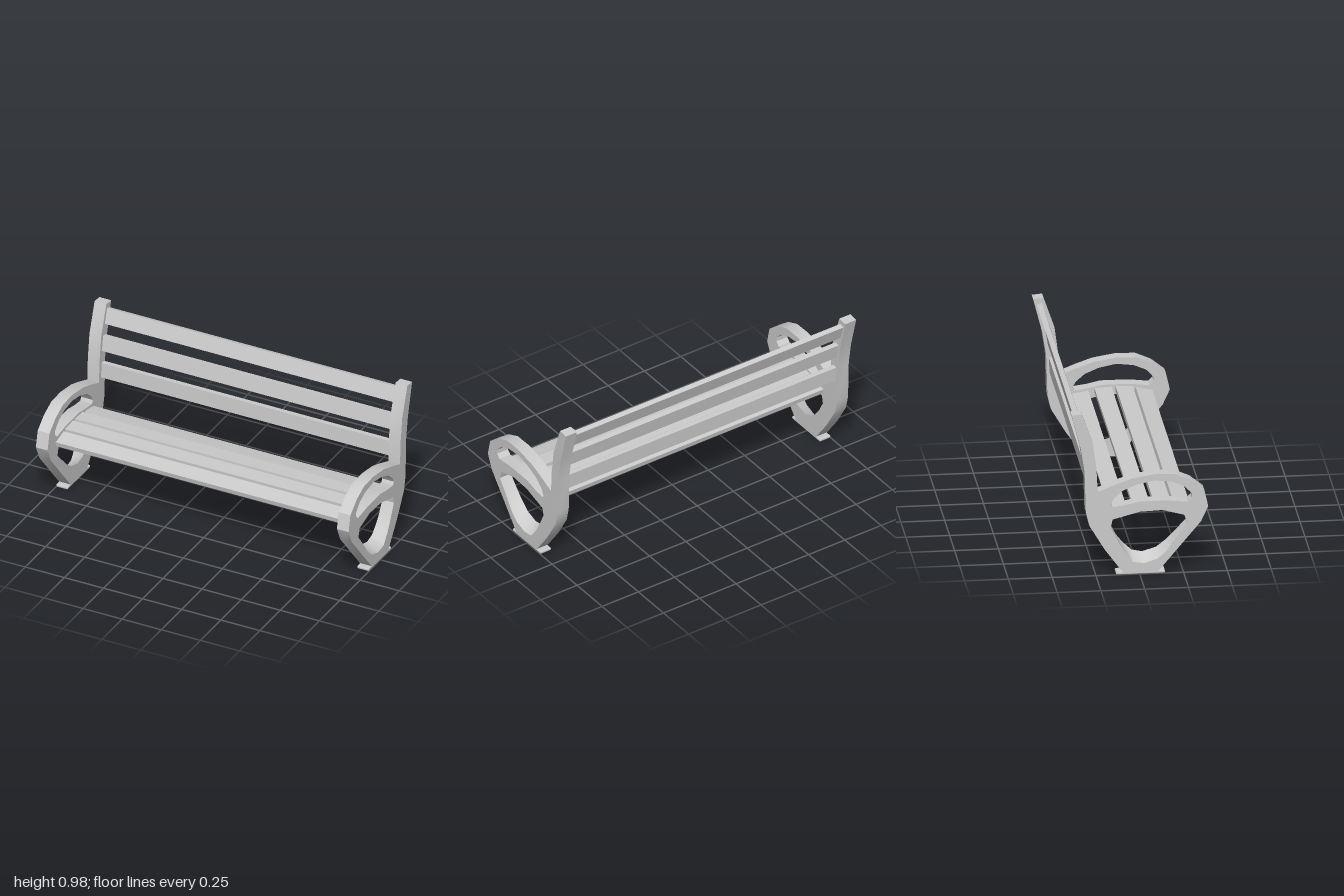
import * as THREE from 'three';
import { toCreasedNormals } from 'three/addons/utils/BufferGeometryUtils.js';
import { RoundedBoxGeometry } from 'three/addons/geometries/RoundedBoxGeometry.js';

const material = new THREE.MeshStandardMaterial({ color: 0xcccccc });
const END_WIDTH = 0.075;
const INNER_X = 1 - END_WIDTH;

// Side profiles as [z, y]
const outline = [
  [0.105, 0.012], [0.35, 0.305], [0.391, 0.395], [0.368, 0.495], [0.29, 0.558], [0.2, 0.597],
  [0.09, 0.6], [-0.045, 0.578], [-0.14, 0.545], [-0.24, 0.505], [-0.247, 0.645], [-0.267, 0.795],
  [-0.33, 0.977], [-0.389, 0.972], [-0.337, 0.77], [-0.315, 0.63], [-0.308, 0.39],
  [-0.288, 0.303], [-0.2, 0.155], [-0.095, 0.012],
];
const armHole = [
  [0.298, 0.475], [0.255, 0.52], [0.185, 0.55], [0.085, 0.562], [-0.015, 0.542], [-0.095, 0.508],
  [-0.145, 0.465], [-0.165, 0.43], [-0.155, 0.41], [-0.08, 0.42], [0, 0.438], [0.16, 0.438],
  [0.275, 0.425], [0.298, 0.448],
];
// The leg opening narrows toward the inner face: [z, y] outside, then inside
const legHole = [
  [0.27, 0.295, 0.27, 0.295], [0.255, 0.347, 0.255, 0.347], [0.13, 0.381, 0.13, 0.381],
  [0, 0.376, 0, 0.376], [-0.155, 0.335, -0.155, 0.335], [-0.165, 0.29, -0.165, 0.29],
  [-0.12, 0.195, -0.127, 0.217], [-0.085, 0.133, -0.09, 0.17], [-0.04, 0.075, -0.04, 0.123],
  [0.025, 0.065, 0.02, 0.11], [0.1, 0.088, 0.1, 0.133], [0.15, 0.13, 0.16, 0.18],
  [0.21, 0.215, 0.215, 0.232],
];

const toPoints = (list) => list.map(([z, y]) => new THREE.Vector2(z, y));

function add(parent, name, geometry) {
  const mesh = new THREE.Mesh(geometry, material);
  mesh.name = name;
  parent.add(mesh);
  return mesh;
}

// One end frame with armrest, legs and back post; side is +1 (left) or -1 (right)
function endFrameGeometry(side) {
  const shape = new THREE.Shape(toPoints(outline));
  shape.holes.push(new THREE.Path(toPoints(armHole)), new THREE.Path(toPoints(legHole)));
  const geometry = new THREE.ExtrudeGeometry(shape, { depth: END_WIDTH, bevelEnabled: false });

  // Shrink the leg opening on the inner face
  const innerDepth = side > 0 ? END_WIDTH : 0;
  const p = geometry.attributes.position;
  for (let i = 0; i < p.count; i++) {
    if (Math.abs(p.getZ(i) - innerDepth) > 1e-4) continue;
    const hit = legHole.find(([z, y]) => Math.hypot(p.getX(i) - z, p.getY(i) - y) < 1e-4);
    if (hit) p.setXY(i, hit[2], hit[3]);
  }
  geometry.rotateY(-Math.PI / 2);
  geometry.translate(side > 0 ? 1 : -INNER_X, 0, 0);
  return toCreasedNormals(geometry, 0.6);
}

export function createModel() {
  const group = new THREE.Group();
  group.name = 'bench';

  for (const [side, label] of [[1, 'left'], [-1, 'right']]) {
    const end = new THREE.Group();
    end.name = label + 'End';
    group.add(end);
    add(end, label + 'Frame', endFrameGeometry(side));
    const foot = add(end, label + 'Foot', new RoundedBoxGeometry(END_WIDTH, 0.017, 0.28, 2, 0.006));
    foot.position.set(side * (1 - END_WIDTH / 2), 0.0085, 0.005);
  }

  // Seat slats following the curved seat rail: [z, y, tilt]
  const seat = [[0.24, 0.392, 0.22], [0.13, 0.41, 0.04], [0.01, 0.408, -0.06], [-0.12, 0.384, -0.2]];
  seat.forEach(([z, y, tilt], i) => {
    const slat = add(group, 'seatSlat' + (i + 1), new THREE.BoxGeometry(2 * INNER_X, 0.03, 0.098));
    slat.position.set(0, y, z);
    slat.rotation.x = tilt;
  });

  // Back slats leaning with the posts: [z, y, tilt]
  const back = [[-0.283, 0.572, -0.05], [-0.298, 0.74, -0.17], [-0.34, 0.897, -0.31]];
  back.forEach(([z, y, tilt], i) => {
    const slat = add(group, 'backSlat' + (i + 1), new THREE.BoxGeometry(2 * INNER_X, 0.094, 0.03));
    slat.position.set(0, y, z);
    slat.rotation.x = tilt;
  });

  return group;
}
